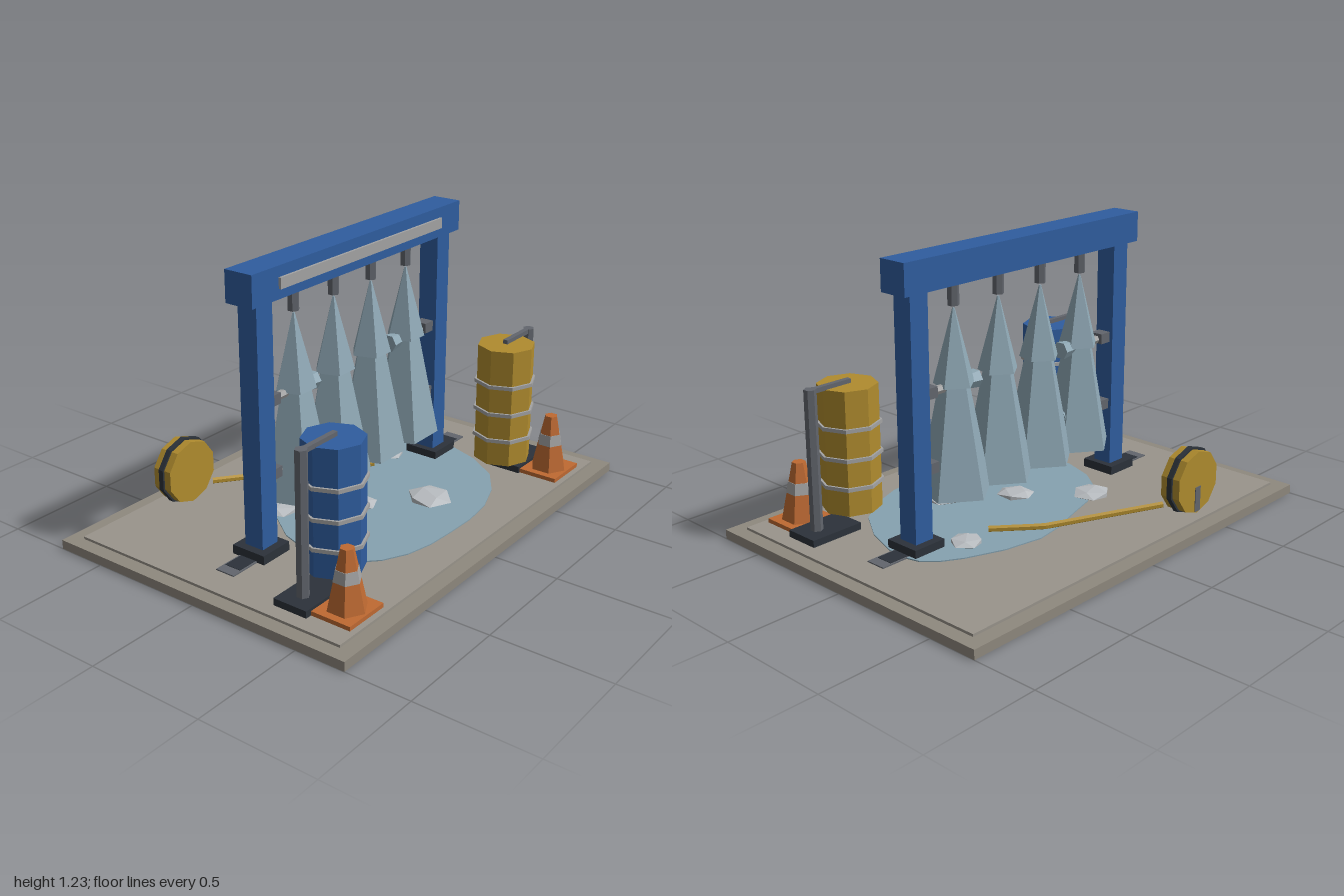
import * as THREE from 'three';

const mat = (color) => new THREE.MeshStandardMaterial({ color, flatShading: true });
const M = {
  stone: mat(0x8f897e), slab: mat(0x99948b), blue: mat(0x2f5d9f), yellow: mat(0xb08c2e),
  orange: mat(0xbf6a32), dark: mat(0x2c323a), grey: mat(0x62666d), light: mat(0xa3a3a3),
  fabric: mat(0x8fa8b5), water: mat(0x86a2b0), foam: mat(0xb8bcc0),
};

function add(parent, name, geometry, material, x = 0, y = 0, z = 0) {
  const mesh = new THREE.Mesh(geometry, material);
  mesh.name = name;
  mesh.position.set(x, y, z);
  parent.add(mesh);
  return mesh;
}
const box = (w, h, d) => new THREE.BoxGeometry(w, h, d);
const prism = (rTop, rBottom, h, sides) => new THREE.CylinderGeometry(rTop, rBottom, h, sides);

function group(parent, name, x = 0, y = 0, z = 0) {
  const g = new THREE.Group();
  g.name = name;
  g.position.set(x, y, z);
  parent.add(g);
  return g;
}

// Floor: two stacked slabs and a thin puddle
function buildFloor(root) {
  const floor = group(root, 'floor');
  add(floor, 'baseSlab', box(2, 0.04, 1.44), M.stone, 0, 0.02, 0);
  add(floor, 'innerSlab', box(1.88, 0.012, 1.31), M.slab, 0, 0.045, 0);
  const outline = [[-0.49, 0.14], [-0.45, 0.35], [-0.27, 0.48], [-0.02, 0.515], [0.27, 0.5], [0.54, 0.36],
    [0.69, 0.06], [0.68, -0.1], [0.54, -0.21], [0.2, -0.305], [-0.07, -0.24], [-0.35, -0.13]];
  const curve = new THREE.CatmullRomCurve3(outline.map(([x, z]) => new THREE.Vector3(x, -z, 0)), true);
  const shape = new THREE.Shape(curve.getPoints(24).map((p) => new THREE.Vector2(p.x, p.y)));
  const puddle = new THREE.ExtrudeGeometry(shape, { depth: 0.005, bevelEnabled: false });
  add(floor, 'puddle', puddle.rotateX(-Math.PI / 2), M.water, 0, 0.051, 0);

  // Flattened foam lumps: x, z, radius, yaw
  [[-0.28, -0.165, 0.095, 0.3], [0.18, 0.28, 0.11, 1.1], [-0.05, 0.07, 0.085, 2], [0.44, -0.12, 0.08, 0.7]]
    .forEach(([x, z, r, yaw]) => {
      const lump = add(floor, 'foamLump', new THREE.IcosahedronGeometry(r, 0), M.foam, x, 0.066, z);
      lump.scale.set(1, 0.2, 0.9);
      lump.rotation.y = yaw;
    });
}

// Gantry: two posts, cross beam and light panel
function buildGantry(root) {
  const gantry = group(root, 'gantry');
  add(gantry, 'beam', box(1.37, 0.13, 0.13), M.blue, 0, 1.165, 0);
  add(gantry, 'beamPanel', box(1.07, 0.045, 0.012), M.light, 0, 1.163, 0.07);
  for (const s of [-1, 1]) {
    add(gantry, 'post', box(0.09, 1.05, 0.09), M.blue, s * 0.597, 0.575, 0);
    add(gantry, 'postFoot', box(0.155, 0.04, 0.16), M.dark, s * 0.6, 0.07, 0);
    add(gantry, 'floorPlate', box(0.14, 0.006, 0.09), M.grey, s * 0.745, 0.053, 0);
    add(gantry, 'floorPlateInset', box(0.09, 0.006, 0.075), M.dark, s * 0.725, 0.055, 0);
    // Spray arms reaching inward from the post
    for (const y of [0.68, 0.37]) {
      const arm = group(gantry, 'sprayArm', 0, y, 0);
      add(arm, 'armMount', box(0.06, 0.045, 0.06), M.grey, s * 0.525, 0.005, 0);
      const pipe = add(arm, 'armPipe', prism(0.018, 0.018, 0.24, 6), M.light, s * 0.4, 0, 0);
      const nozzle = add(arm, 'nozzle', prism(0.04, 0.032, 0.065, 6), M.fabric, s * 0.288, 0, 0);
      pipe.rotation.z = nozzle.rotation.z = s * Math.PI / 2;
    }
  }
}

// Hanging five-sided brushes, each a long skirt with a short one over it
function buildBrushes(root) {
  for (let i = 0; i < 4; i++) {
    const brush = group(root, 'hangingBrush', -0.375 + i * 0.25, 0, 0);
    add(brush, 'hanger', prism(0.024, 0.024, 0.1, 6), M.grey, 0, 1.053, 0);
    add(brush, 'lowerSkirt', prism(0.004, 0.155, 0.755, 5), M.fabric, 0, 0.6075, 0).rotation.y = Math.PI;
    add(brush, 'upperSkirt', prism(0.005, 0.087, 0.31, 5), M.fabric, 0, 0.838, 0).rotation.y = Math.PI;
  }
}

// Banded drum carried by a side stand
function buildDrum(root, s, material) {
  const drum = group(root, 'drumStation', s * 0.61, 0, 0.375);
  add(drum, 'drum', prism(0.125, 0.125, 0.53, 8), material, 0, 0.395, 0);
  for (const y of [0.247, 0.37, 0.497]) add(drum, 'drumBand', prism(0.135, 0.135, 0.016, 8), M.light, 0, y, 0);
  add(drum, 'standFoot', box(0.245, 0.03, 0.155), M.dark, s * 0.145, 0.066, 0);
  add(drum, 'standPost', prism(0.026, 0.026, 0.6, 6), M.grey, s * 0.188, 0.378, 0);
  add(drum, 'standArm', box(0.2, 0.02, 0.022), M.grey, s * 0.09, 0.668, 0);
}

// Six-sided safety cone with a pale band
function buildCone(root, s) {
  const cone = group(root, 'safetyCone', s * 0.747, 0, 0.54);
  add(cone, 'coneBase', box(0.205, 0.018, 0.18), M.orange, 0, 0.06, 0);
  add(cone, 'coneBody', prism(0.028, 0.082, 0.25, 6), M.orange, 0, 0.192, 0);
  add(cone, 'coneBand', prism(0.048, 0.058, 0.048, 6), M.light, 0, 0.21, 0);
}

// Hose reel standing at the back with its hose on the floor
function buildReel(root) {
  const reel = group(root, 'hoseReel', -0.44, 0.19, -0.565);
  add(reel, 'reelBody', prism(0.138, 0.138, 0.092, 10), M.yellow).rotation.x = Math.PI / 2;
  add(reel, 'reelBand', prism(0.147, 0.147, 0.024, 10), M.dark).rotation.x = Math.PI / 2;
  add(reel, 'reelBracket', box(0.035, 0.11, 0.008), M.grey, 0, -0.075, -0.045);
  const path = new THREE.CurvePath();
  const pts = [[-0.32, 0.1, -0.52], [0.13, 0.067, -0.255], [0.3, 0.066, -0.105]].map((p) => new THREE.Vector3(...p));
  path.add(new THREE.LineCurve3(pts[0], pts[1]));
  path.add(new THREE.LineCurve3(pts[1], pts[2]));
  add(root, 'hose', new THREE.TubeGeometry(path, 16, 0.014, 6), M.yellow);
}

export function createModel() {
  const root = new THREE.Group();
  root.name = 'washStation';
  buildFloor(root);
  buildGantry(root);
  buildBrushes(root);
  buildDrum(root, -1, M.blue);
  buildDrum(root, 1, M.yellow);
  for (const s of [-1, 1]) buildCone(root, s);
  buildReel(root);
  return root;
}
